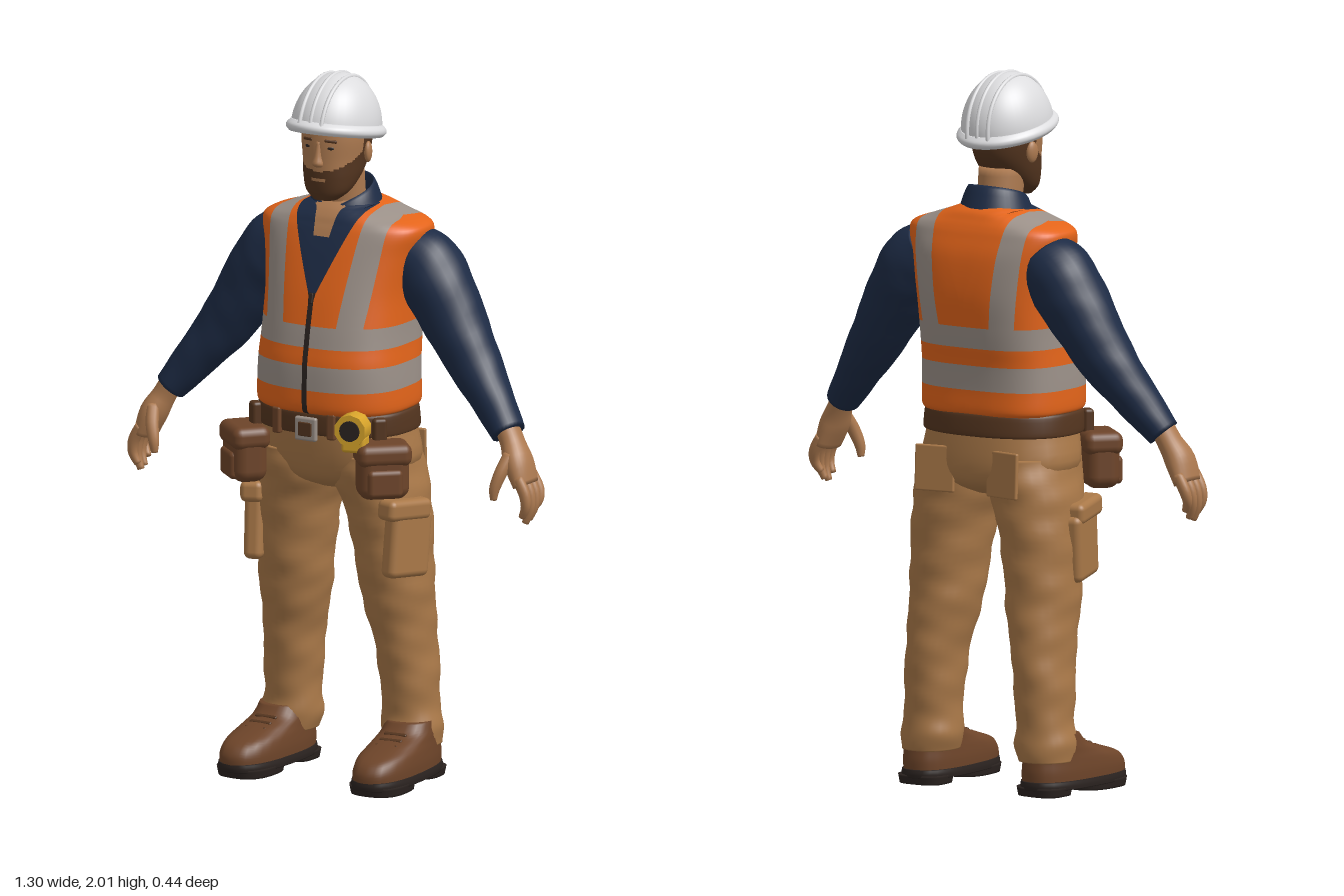
import * as THREE from 'three';
import { mergeVertices } from 'three/addons/utils/BufferGeometryUtils.js';
import { RoundedBoxGeometry } from 'three/addons/geometries/RoundedBoxGeometry.js';

const mat = (name, color, side = THREE.FrontSide) => {
  const m = new THREE.MeshStandardMaterial({ color, side });
  m.name = name;
  return m;
};

// Grid surface; paint picks a material index per quad
function grid(nu, nv, point, paint) {
  const pos = [], buckets = [];
  for (let j = 0; j <= nv; j++) for (let i = 0; i <= nu; i++) pos.push(...point(i, j));
  const at = k => new THREE.Vector3().fromArray(pos, k * 3);
  for (let j = 0; j < nv; j++) for (let i = 0; i < nu; i++) {
    const a = j * (nu + 1) + i, b = a + nu + 1;
    const m = paint ? paint(at(a).add(at(b + 1)).multiplyScalar(0.5), i, j) : 0;
    (buckets[m] ??= []).push(a, b, a + 1, b, b + 1, a + 1);
  }
  let g = new THREE.BufferGeometry();
  g.setAttribute('position', new THREE.Float32BufferAttribute(pos, 3));
  g.setIndex(buckets.flat());
  g = mergeVertices(g, 1e-5);
  let start = 0;
  if (paint) buckets.forEach((b, m) => { g.addGroup(start, b.length, m); start += b.length; });
  g.computeVertexNormals();
  return g;
}

// Smooth interpolation through rows of numbers, t in 0..1
function interp(rows, t) {
  const s = THREE.MathUtils.clamp(t, 0, 1) * (rows.length - 1);
  const k = Math.min(Math.floor(s), rows.length - 2), f = s - k;
  const r = o => rows[THREE.MathUtils.clamp(k + o, 0, rows.length - 1)];
  return rows[0].map((_, c) => {
    const [a, b, d, e] = [r(-1)[c], r(0)[c], r(1)[c], r(2)[c]];
    return b + 0.5 * f * (d - a + f * (2 * a - 5 * b + 4 * d - e + f * (3 * (b - d) + e - a)));
  });
}
const spow = (v, e) => Math.sign(v) * Math.abs(v) ** e;

// Closed loft through rows [x, y, z, halfWidth, halfDepth]; flat keeps rings level
function loft(rows, { n = 28, sub = 4, e = 1, flat = true, ripple = 0, paint } = {}) {
  const nv = (rows.length - 1) * sub;
  return grid(n, nv + 2, (i, j) => {
    const t = THREE.MathUtils.clamp((j - 1) / nv, 0, 1);
    const [x, y, z, a, b] = interp(rows, t);
    const side = new THREE.Vector3(1, 0, 0), fwd = new THREE.Vector3(0, 0, 1);
    if (!flat) {
      const p = interp(rows, t - 0.02), q = interp(rows, t + 0.02);
      const dir = new THREE.Vector3(q[0] - p[0], q[1] - p[1], q[2] - p[2]).normalize();
      side.crossVectors(dir, fwd).normalize();
      fwd.crossVectors(side, dir);
    }
    const th = (i % n) / n * Math.PI * 2;
    const r = j === 0 || j === nv + 2 ? 0
      : 1 + ripple * (Math.sin(48 * y + 2 * th) + 0.6 * Math.sin(83 * y - 3 * th + 1));
    return side.multiplyScalar(r * a * spow(Math.cos(th), e))
      .addScaledVector(fwd, r * b * spow(Math.sin(th), e)).add(new THREE.Vector3(x, y, z)).toArray();
  }, paint);
}

const place = (g, x, y, z, rx = 0, ry = 0, rz = 0) =>
  g.applyMatrix4(new THREE.Matrix4().makeRotationFromEuler(new THREE.Euler(rx, ry, rz)).setPosition(x, y, z));
const box = (w, h, d, r) => new RoundedBoxGeometry(w, h, d, 3, r);
const ball = (x, y, z) => new THREE.SphereGeometry(1, 18, 12).scale(x, y, z);

function mirrored(geo) {
  const g = mergeVertices(geo.clone()).scale(-1, 1, 1), ix = g.index;
  for (let i = 0; i < ix.count; i += 3) {
    const a = ix.getX(i);
    ix.setX(i, ix.getX(i + 1));
    ix.setX(i + 1, a);
  }
  return g;
}

// Vest: columns follow the neckline and the upright bands, rows follow the hoops
function vestGeometry() {
  const rows = [[1.06, .213, .16, -.182], [1.075, .222, .176, -.19], [1.13, .222, .178, -.19], [1.2, .219, .176, -.195],
    [1.25, .216, .168, -.204], [1.31, .215, .157, -.213], [1.4, .218, .136, -.222], [1.5, .235, .105, -.215],
    [1.56, .25, .082, -.197], [1.585, .236, .07, -.187], [1.605, .18, .06, -.176], [1.63, .105, .04, -.16],
    [1.645, .07, .02, -.13]];
  const spans = [4, 4, 4, 8], Q = 20, sub = 5, nv = (rows.length - 1) * sub;
  const spanOf = l => { let s = 0; while (l >= spans[s]) l -= spans[s++]; return [s, l / spans[s]]; };
  const quarter = i => { const q = Math.floor(i / Q), l = i % Q; return [q, q % 2 ? Q - l : l]; };
  const point = (i, j) => {
    const [y, rx, zf, zb] = interp(rows, j / nv);
    const [q, l] = quarter(i % (4 * Q)), front = q === 0 || q === 3, e = front ? 0.8 : 0.66;
    const xi = .085 + Math.max(0, y - 1.31) * .12;
    const edges = [0, .008 + Math.max(0, y - 1.39) * .42, xi, xi + .07, rx]
      .map(x => Math.asin(Math.min(x / rx, 1) ** (1 / e)));
    const [s, f] = l === Q ? [3, 1] : spanOf(l);
    const th = edges[s] + (edges[s + 1] - edges[s]) * f, cz = (zf + zb) / 2;
    const x = rx * Math.sin(th) ** e, z = Math.abs(Math.cos(th)) ** e * (zf - zb) / 2;
    return [q < 2 ? -x : x, y, front ? cz + z : cz - z];
  };
  return grid(4 * Q, nv, point, (c, i, j) => {
    const q = Math.floor(i / Q), l = q % 2 ? Q - 1 - i % Q : i % Q, s = spanOf(l)[0], k = Math.floor(j / sub);
    const front = q === 0 || q === 3;
    if (front && s === 0) {
      if (c.y < 1.4) return 3;
      return c.y > 1.55 && Math.abs(c.x) < (c.y - 1.53) * .55 ? 4 : 2;
    }
    return k === 2 || k === 4 || (k > 4 && s === 2) ? 1 : 0;
  });
}

export function createModel() {
  const model = new THREE.Group();
  model.name = 'worker';
  const orange = mat('safety orange', 0xe3641a), silver = mat('reflective grey', 0x9b9088);
  const navy = mat('navy cloth', 0x1d2b45, THREE.DoubleSide), tan = mat('tan canvas', 0xa97848);
  const leather = mat('brown leather', 0x6d4429), dark = mat('dark rubber', 0x2b2320);
  const skin = mat('skin', 0xad7a50), hair = mat('dark brown', 0x54351f);
  const white = mat('helmet white', 0xdcdcde), yellow = mat('yellow', 0xd9a52b);
  const add = (name, geo, material) => {
    const m = new THREE.Mesh(geo, material);
    m.name = name;
    model.add(m);
    return m;
  };
  const pair = (name, geo, material) => {
    add(name + 'Left', geo, material);
    add(name + 'Right', mirrored(geo), material);
  };

  // Torso
  add('vest', vestGeometry(), [orange, silver, navy, dark, skin]);
  add('zipPull', place(box(.014, .03, .008, .003), 0, 1.385, .142, -.25), dark);
  add('hips', loft([[0, .83, -.03, .05, .08], [0, .86, -.03, .16, .14], [0, .91, -.027, .232, .16],
    [0, 1, -.018, .222, .165], [0, 1.07, -.012, .212, .162]], { e: .85 }), tan);
  add('collar', grid(40, 8, (i, j) => {
    const a = .38 + i / 40 * (Math.PI * 2 - .76), k = (1 - Math.cos(a)) / 2, rk = Math.sqrt(k);
    const [r, y] = interp([[.068, 1.57 + .03 * k], [.076, 1.615 + .075 * rk], [.088, 1.612 + .075 * rk],
      [.112, 1.56 + .065 * k]], j / 8);
    return [Math.sin(a) * r, y, -.045 + Math.cos(a) * r];
  }), navy);
  add('neck', loft([[0, 1.54, -.045, .068, .07], [0, 1.62, -.04, .062, .065], [0, 1.74, -.02, .065, .07]]), skin);

  // Head with hair and beard
  add('head', loft([[0, 1.655, .058, .036, .034], [0, 1.68, .045, .064, .055], [0, 1.72, .022, .079, .082],
    [0, 1.77, .003, .087, .101], [0, 1.83, -.002, .094, .105], [0, 1.9, -.004, .09, .1]],
  { n: 72, sub: 10, e: .92, paint: p => {
    if (p.y > 1.862 || (p.z < .012 && p.y > 1.7)) return 1;
    if (Math.abs(p.x) < .024 && p.z > .05 && Math.abs(p.y - 1.716) < .006) return 0;
    return p.z > -.01 && p.y < 1.743 + (.1 - p.z) * .5 ? 1 : 0;
  } }), [skin, hair]);
  add('nose', loft([[0, 1.752, .1, .012, .006], [0, 1.762, .104, .017, .016], [0, 1.785, .101, .011, .013],
    [0, 1.825, .095, .008, .01]], { n: 14 }), skin);
  pair('ear', place(ball(.011, .03, .019), .094, 1.785, -.012, 0, .3), skin);
  pair('eye', place(ball(.012, .006, .005), .035, 1.808, .094, 0, .3), dark);
  pair('brow', place(box(.036, .009, .009, .004), .036, 1.828, .094, 0, .35, -.08), hair);

  // Helmet: dome, tilted brim, ridges
  const helmet = (name, g) => add(name, place(g, 0, 1.845, .003, -.19), white);
  helmet('helmetDome', loft([...Array(10)].map((_, i) => {
    const t = i / 9 * 1.5;
    return [0, .156 * Math.sin(t), 0, .12 * Math.cos(t), .148 * Math.cos(t)];
  }), { n: 40, sub: 2 }));
  helmet('helmetBrim', loft([[0, -.016, 0, .122, .154], [0, -.006, 0, .131, .163], [0, .006, 0, .13, .162],
    [0, .018, 0, .119, .147]], { n: 40 }));
  for (const x of [-.035, 0, .035])
    helmet('helmetRidge', place(new THREE.TorusGeometry(1, .045, 8, 32, Math.PI)
      .scale(.146, .154, .13).rotateY(Math.PI / 2), x, x ? -.006 : 0, 0));

  // Arms and hands
  pair('sleeve', loft([[.19, 1.5, -.085, .085, .09], [.235, 1.46, -.086, .103, .1], [.285, 1.395, -.084, .099, .1],
    [.385, 1.24, -.068, .08, .083], [.47, 1.13, -.042, .062, .066], [.545, 1.035, -.016, .046, .052]],
  { flat: false, sub: 7, ripple: .012 }), navy);
  pair('palm', loft([[.535, 1.06, -.018, .032, .04], [.562, 1.01, -.01, .033, .04], [.588, .96, .002, .038, .052],
    [.612, .9, .003, .028, .053]], { flat: false }), skin);
  for (let f = 0; f < 4; f++) {
    const z = .042 - f * .026, len = [.075, .095, .088, .065][f];
    pair('finger', loft([[.606, .925, z, .018, .014], [.629, .885, z, .017, .0145],
      [.634, .885 - len * .5, z * .9 + .004, .014, .0125], [.62, .89 - len, z * .7 + .008, .01, .01]],
    { n: 12, flat: false }), skin);
  }
  pair('thumb', loft([[.575, .985, .03, .018, .018], [.563, .94, .056, .018, .019], [.55, .895, .069, .015, .016],
    [.547, .862, .07, .009, .01]], { n: 12, flat: false }), skin);

  // Trousers with cargo pockets
  pair('trouserLeg', loft([[.198, .095, -.085, .078, .082], [.194, .14, -.084, .085, .09], [.19, .2, -.085, .077, .083],
    [.186, .3, -.082, .079, .094], [.178, .4, -.075, .08, .104], [.166, .5, -.061, .094, .111],
    [.16, .6, -.05, .1, .12], [.146, .75, -.043, .109, .135], [.122, .86, -.034, .119, .152],
    [.112, .94, -.028, .108, .155]], { e: .92, sub: 8, ripple: .016 }), tan);
  pair('cargoPocket', place(box(.055, .19, .15, .02), .237, .69, .02, -.1, -.25, -.03), tan);
  pair('cargoFlap', place(box(.066, .06, .162, .018), .236, .79, .03, -.1, -.25, -.05), tan);
  pair('backPocket', place(box(.12, .13, .012, .005), .115, .9, -.184, .04, .2), tan);

  // Boots
  const boot = (name, g, m) => pair(name, place(g, .207, 0, 0, 0, .05), m);
  boot('boot', loft([[0, .03, .025, .08, .192], [0, .065, .023, .081, .192], [0, .095, .01, .078, .176],
    [0, .118, -.025, .074, .138], [0, .14, -.06, .072, .1], [0, .17, -.075, .068, .08]], { e: .78, sub: 5 }), leather);
  boot('sole', loft([[0, .018, .024, .084, .193], [0, .03, .024, .085, .195], [0, .042, .024, .083, .193]], { e: .76 }), dark);
  boot('soleTread', loft([[0, 0, .11, .077, .095], [0, .025, .11, .081, .1]], { e: .75 }), dark);
  boot('heel', loft([[0, 0, -.105, .068, .06], [0, .025, -.105, .073, .063]], { e: .65 }), dark);
  for (let i = 0; i < 3; i++)
    boot('lace', place(box(.07, .009, .012, .004), 0, .119 + i * .011, .088 - i * .028, .4), hair);

  // Tool belt
  add('belt', loft([[0, 1, -.015, .226, .172], [0, 1.008, -.015, .231, .177], [0, 1.055, -.012, .228, .176],
    [0, 1.064, -.012, .222, .17]], { n: 48, e: .85 }), hair);
  add('buckle', place(box(.07, .068, .016, .007), 0, 1.018, .167), silver);
  add('buckleCentre', place(box(.042, .04, .008, .003), 0, 1.018, .174), hair);
  for (const x of [-.1, .075]) add('beltLoop', place(box(.026, .075, .02, .006), x, 1.03, .155, 0, x * 1.5), leather);
  pair('pouch', place(box(.145, .15, .1, .035), .222, .915, .127, 0, .72), leather);
  pair('pouchFlap', place(box(.155, .065, .112, .025), .222, .968, .127, 0, .72), leather);
  pair('pouchPocket', place(box(.1, .08, .035, .015), .249, .89, .159, 0, .72), leather);
  pair('pouchStrap', place(box(.04, .09, .03, .01), .2, 1.015, .105, 0, .72), hair);
  add('tapeMeasure', place(new THREE.CylinderGeometry(.046, .046, .055, 10), .16, 1.04, .183, Math.PI / 2, 0, -.2), yellow);
  add('tapeFace', place(new THREE.CylinderGeometry(.029, .029, .008, 20), .166, 1.04, .212, Math.PI / 2, 0, -.2), dark);
  add('tapeBody', place(box(.07, .05, .05, .01), .165, 1.0, .178, 0, .2), yellow);
  return model;
}
